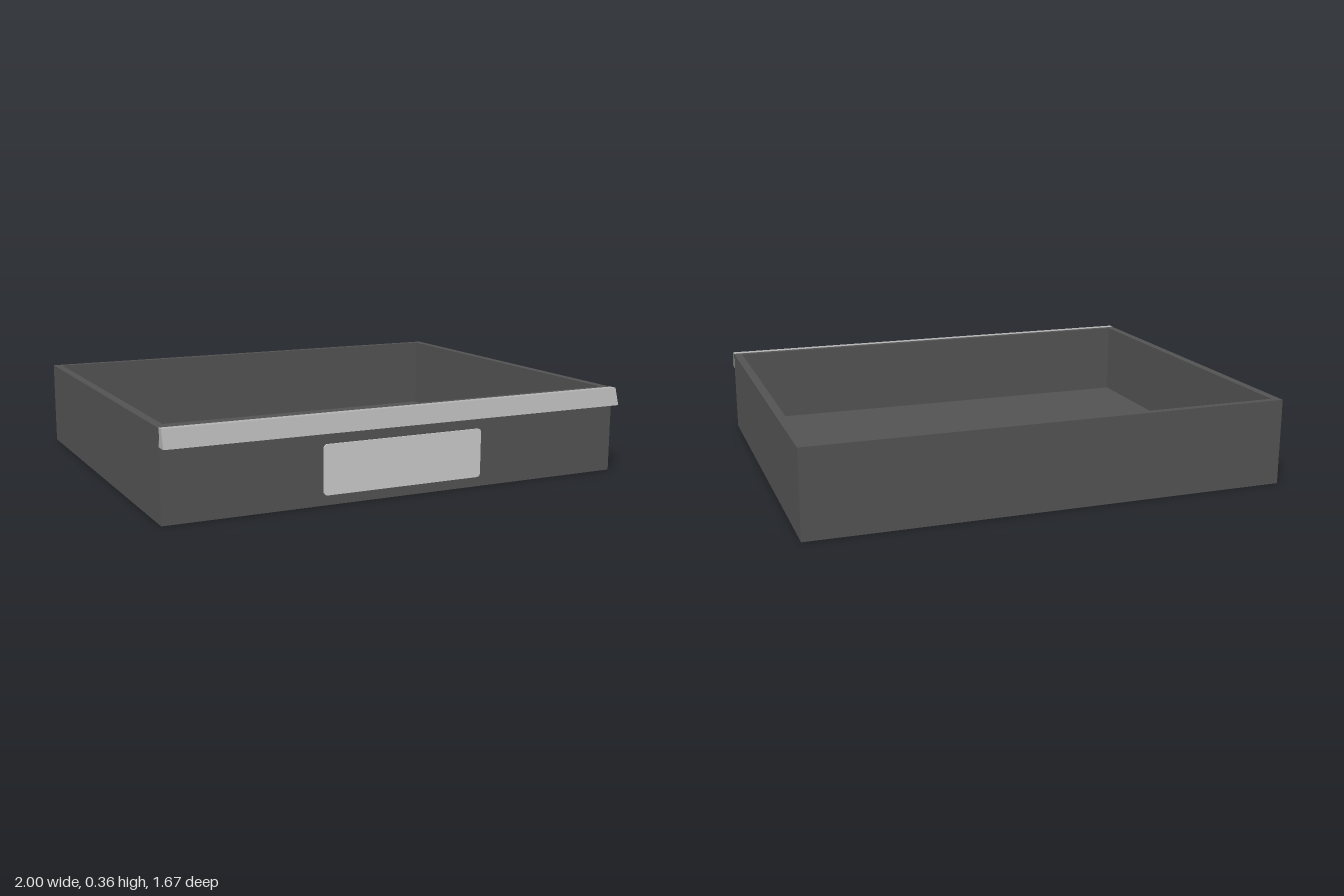
import * as THREE from 'three';

const material = (name, color) => {
  const m = new THREE.MeshStandardMaterial({ color });
  m.name = name;
  return m;
};

// Closed outline from a few points
const outline = (points, Type = THREE.Shape) => new Type(points.map(([a, b]) => new THREE.Vector2(a, b)));
const rect = (x0, y0, x1, y1) => [[x0, y0], [x1, y0], [x1, y1], [x0, y1]];

export function createModel() {
  const group = new THREE.Group();
  const darkGrey = material('darkGrey', 0x525252);
  const midGrey = material('midGrey', 0xb2b2b2);
  const lightGrey = material('lightGrey', 0xcacaca);

  const add = (name, geometry, mat) => {
    const mesh = new THREE.Mesh(geometry, mat);
    mesh.name = name;
    group.add(mesh);
    return mesh;
  };

  const height = 0.36, back = -0.835, front = 0.788, floorTop = 0.035;

  // Four walls: a rectangular ring (shape y = -z) extruded upwards from the floor
  const ring = outline(rect(-1, -front, 1, -back));
  ring.holes.push(outline(rect(-0.965, -0.755, 0.965, 0.805), THREE.Path));
  const walls = new THREE.ExtrudeGeometry(ring, { depth: height - floorTop, bevelEnabled: false });
  walls.rotateX(-Math.PI / 2).translate(0, floorTop, 0);
  add('walls', walls, darkGrey);

  // Floor slab
  const floor = new THREE.BoxGeometry(2, floorTop, front - back);
  add('floor', floor, darkGrey).position.set(0, floorTop / 2, (front + back) / 2);

  // Handle lip: sloped profile (shape x = z) run along the front edge
  const profile = outline([[0.782, 0.29], [0.836, 0.29], [0.813, 0.361], [0.782, 0.361]]);
  const lip = new THREE.ExtrudeGeometry(profile, { depth: 2, bevelEnabled: false });
  lip.rotateY(-Math.PI / 2).scale(1, 1, 1).translate(1, 0, 0);
  add('handleLip', lip, midGrey);

  // Label plate with rounded corners
  const w = 0.35, h = 0.1, r = 0.015;
  const plate = new THREE.Shape();
  plate.absarc(w - r, h - r, r, 0, Math.PI / 2);
  plate.absarc(-w + r, h - r, r, Math.PI / 2, Math.PI);
  plate.absarc(-w + r, -h + r, r, Math.PI, Math.PI * 1.5);
  plate.absarc(w - r, -h + r, r, Math.PI * 1.5, Math.PI * 2);
  const label = new THREE.ExtrudeGeometry(plate, { depth: 0.006, bevelEnabled: false, curveSegments: 6 });
  add('labelPlate', label, lightGrey).position.set(-0.005, 0.14, front);

  return group;
}
